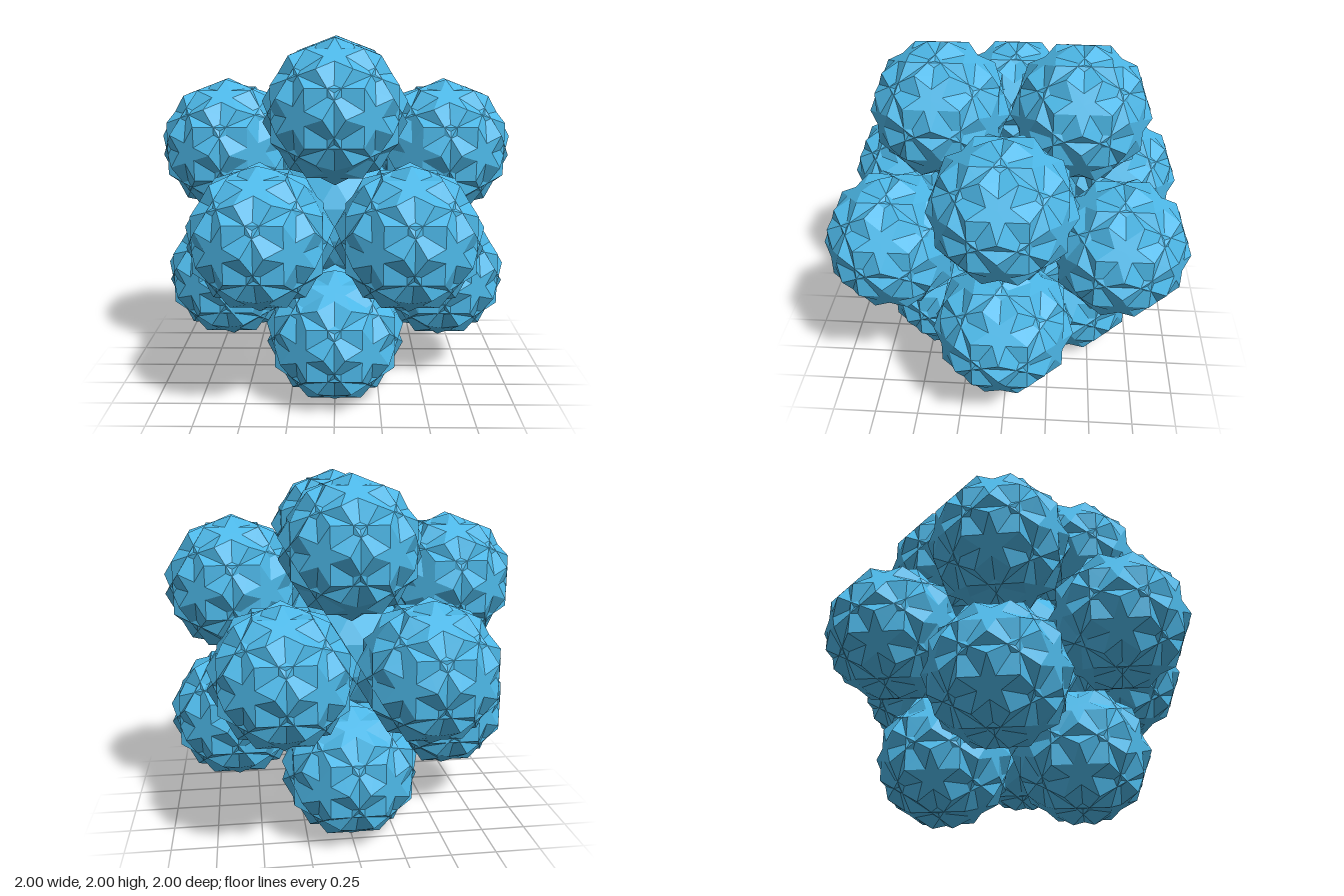
import * as THREE from 'three';
import { ConvexGeometry } from 'three/addons/geometries/ConvexGeometry.js';

const PHI = (1 + Math.sqrt(5)) / 2;
const S5 = Math.sqrt(5);
const UNIT = PHI ** -4; // half the edge of a ball's square face

// All sign changes and cyclic shifts of a point
function orbit(x, y, z) {
  const found = new Map();
  for (const sx of [1, -1]) for (const sy of [1, -1]) for (const sz of [1, -1]) {
    const p = [x * sx, y * sy, z * sz];
    for (let k = 0; k < 3; k++) {
      const v = new THREE.Vector3(p[k], p[(k + 1) % 3], p[(k + 2) % 3]);
      found.set(v.toArray().map((n) => Math.round(n * 1000) + 0).join(), v);
    }
  }
  return [...found.values()];
}

const fiveFold = orbit(PHI, 1, 0);
const twoFold = [...orbit(1, 0, 0), ...orbit(1, PHI, 1 / PHI)];

// Corners lying on the plane at a distance along an axis, in turning order
function ring(corners, axis, distance) {
  const n = axis.clone().normalize();
  const pts = corners.filter((c) => Math.abs(c.dot(n) - distance) < 0.01);
  const centre = n.clone().multiplyScalar(distance);
  const u = pts[0].clone().sub(centre).normalize();
  const w = n.clone().cross(u);
  const angle = (p) => {
    const d = p.clone().sub(centre);
    const a = Math.atan2(d.dot(w), d.dot(u));
    return a < -1e-4 ? a + 2 * Math.PI : a;
  };
  return { centre, pts: pts.sort((a, b) => angle(a) - angle(b)) };
}

// Star ball: 30 squares, 12 pentagons and 12 pentagrams that cut through each other
function starBallGeometry() {
  const corners = [
    ...orbit(PHI ** 2, PHI ** -2, 0), ...orbit(S5, 1, 1), ...orbit(PHI, 2, 1 / PHI),
  ];
  const axisLength = Math.hypot(PHI, 1);
  const triangles = [];
  const fan = (centre, pts) => pts.forEach((p, i) =>
    triangles.push(centre, p, pts[(i + 1) % pts.length]));

  for (const axis of twoFold) {
    const { centre, pts } = ring(corners, axis, S5);
    fan(centre, pts);
  }
  for (const axis of fiveFold) {
    const pentagon = ring(corners, axis, (PHI ** 3 - PHI ** -2) / axisLength);
    fan(pentagon.centre, pentagon.pts);
    // Pentagram: alternate the tips with the notches between them
    const star = ring(corners, axis, (PHI ** 3 + PHI ** -2) / axisLength);
    const outline = star.pts.flatMap((p, i) => {
      const opposite = star.pts[(i + 3) % 5];
      const notch = star.centre.clone().sub(opposite.clone().sub(star.centre).multiplyScalar(PHI ** -2));
      return [p, notch];
    });
    fan(star.centre, outline);
  }
  const geometry = new THREE.BufferGeometry().setFromPoints(triangles);
  geometry.computeVertexNormals();
  return geometry.scale(UNIT, UNIT, UNIT);
}

export function createModel() {
  const model = new THREE.Group();
  model.name = 'starBallCluster';
  const material = new THREE.MeshStandardMaterial({
    color: 0x4db8e8, flatShading: true, side: THREE.DoubleSide,
  });

  // Core of pentagons, squares and triangles
  const core = new THREE.Mesh(new ConvexGeometry([
    ...orbit(PHI ** 2, 1 / PHI, 1 / PHI), ...orbit(PHI, S5, 0), ...orbit(2, PHI, 1),
  ]), material);
  core.name = 'core';
  core.scale.setScalar(UNIT);
  core.position.y = 1;
  model.add(core);

  // One ball on each of the twelve pentagons
  const ballGeometry = starBallGeometry();
  fiveFold.forEach((axis, i) => {
    const ball = new THREE.Mesh(ballGeometry, material);
    ball.name = `starBall${i + 1}`;
    ball.position.copy(axis).multiplyScalar(PHI ** -2);
    ball.position.y += 1;
    model.add(ball);
  });
  return model;
}
